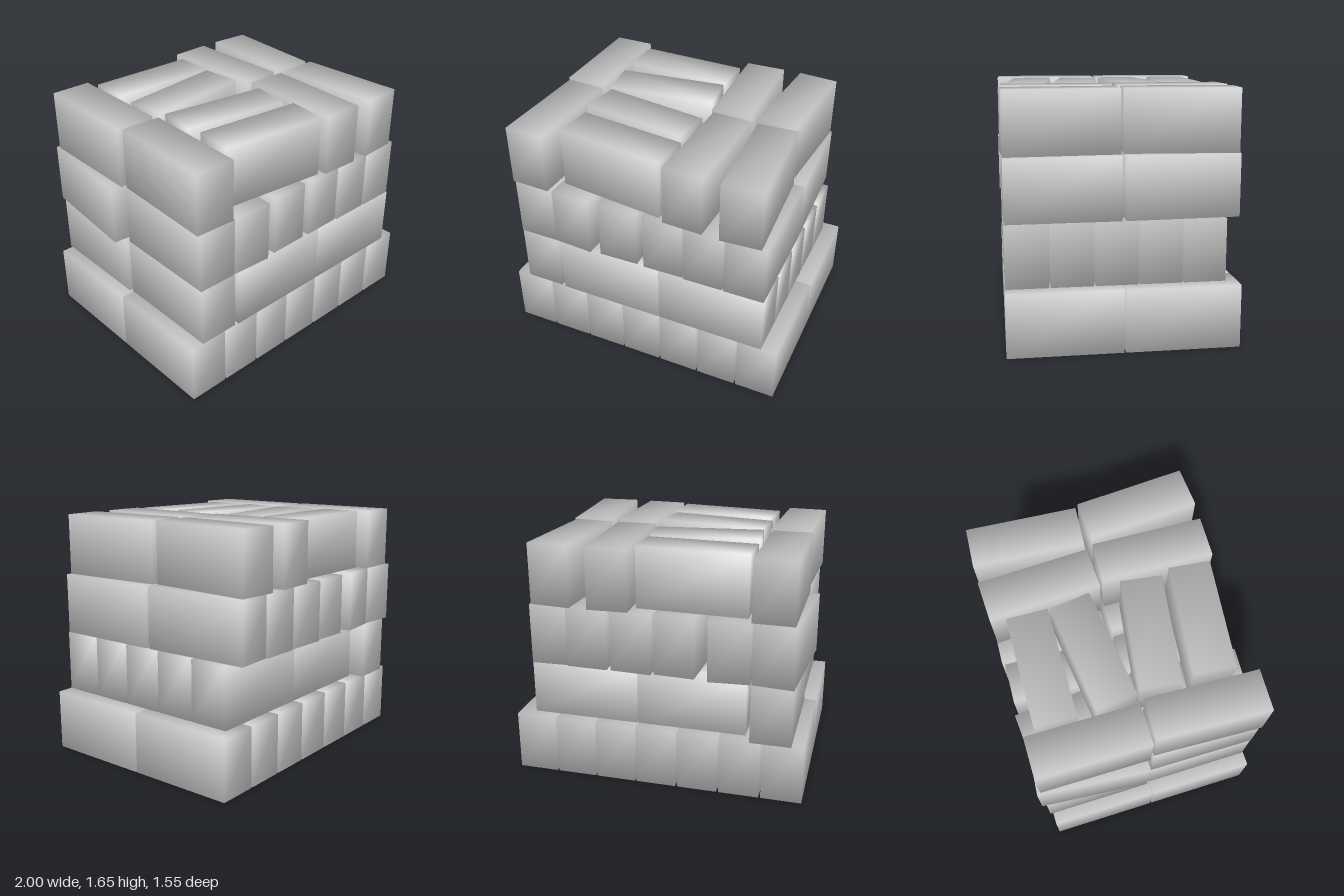
import * as THREE from 'three';
import { mergeVertices } from 'three/addons/utils/BufferGeometryUtils.js';

const WIDTH = 0.274, HEIGHT = 0.413, LENGTH = 0.742;

// One brick with shared corners, so its shading is smooth across the edges
function brickGeometry() {
  const box = new THREE.BoxGeometry(WIDTH, HEIGHT, LENGTH);
  box.deleteAttribute('normal');
  box.deleteAttribute('uv');
  const brick = mergeVertices(box);
  brick.computeVertexNormals();
  return brick;
}

export function createModel() {
  const model = new THREE.Group();
  model.name = 'brickStack';
  const geometry = brickGeometry();
  const material = new THREE.MeshStandardMaterial({ color: 0xcccccc });
  const ACROSS = Math.PI / 2; // long side along x

  // Each brick is [x, z, turn]
  function addLayer(name, level, bricks) {
    const layer = new THREE.Group();
    layer.name = name;
    layer.position.y = HEIGHT * (level + 0.5);
    for (const [x, z, turn = 0] of bricks) {
      const brick = new THREE.Mesh(geometry, material);
      brick.name = 'brick';
      brick.position.set(x, 0, z);
      brick.rotation.y = turn;
      layer.add(brick);
    }
    model.add(layer);
  }

  // Bottom layer: two rows of seven, neatly aligned
  const bottom = [];
  for (let i = 0; i < 7; i++) {
    const x = -0.863 + i * 0.2877;
    bottom.push([x, 0.393], [x, -0.36]);
  }
  addLayer('bottomLayer', 0, bottom);

  // Second layer: one column lengthwise, two columns of five crosswise
  const second = [[-0.768, 0.385], [-0.78, -0.38]];
  for (let i = 0; i < 5; i++) {
    const z = 0.625 - i * 0.286;
    second.push([-0.23, z, ACROSS], [0.52, z, ACROSS]);
  }
  addLayer('secondLayer', 1, second);

  // Third layer: two rows of six, loosely turned
  addLayer('thirdLayer', 2, [
    [-0.815, -0.4, -0.085], [-0.475, -0.4, 0.07], [-0.155, -0.385, -0.05],
    [0.137, -0.39, -0.05], [0.45, -0.385, -0.02], [0.725, -0.375, 0.04],
    [-0.77, 0.385, -0.01], [-0.47, 0.395, -0.06], [-0.155, 0.385, 0.02],
    [0.17, 0.385, 0.02], [0.46, 0.39, 0.01], [0.745, 0.39, 0.01],
  ]);

  // Top layer: lengthwise bricks on both sides, four crosswise between
  addLayer('topLayer', 3, [
    [-0.775, -0.385, -0.01], [-0.775, 0.388, -0.045],
    [-0.235, -0.53, ACROSS - 0.03], [-0.225, -0.19, ACROSS + 0.115],
    [-0.21, 0.2, ACROSS - 0.145], [-0.21, 0.543, ACROSS - 0.115],
    [0.315, -0.39, 0.03], [0.673, -0.385, -0.075],
    [0.335, 0.39, -0.04], [0.69, 0.395, 0.06],
  ]);

  return model;
}
